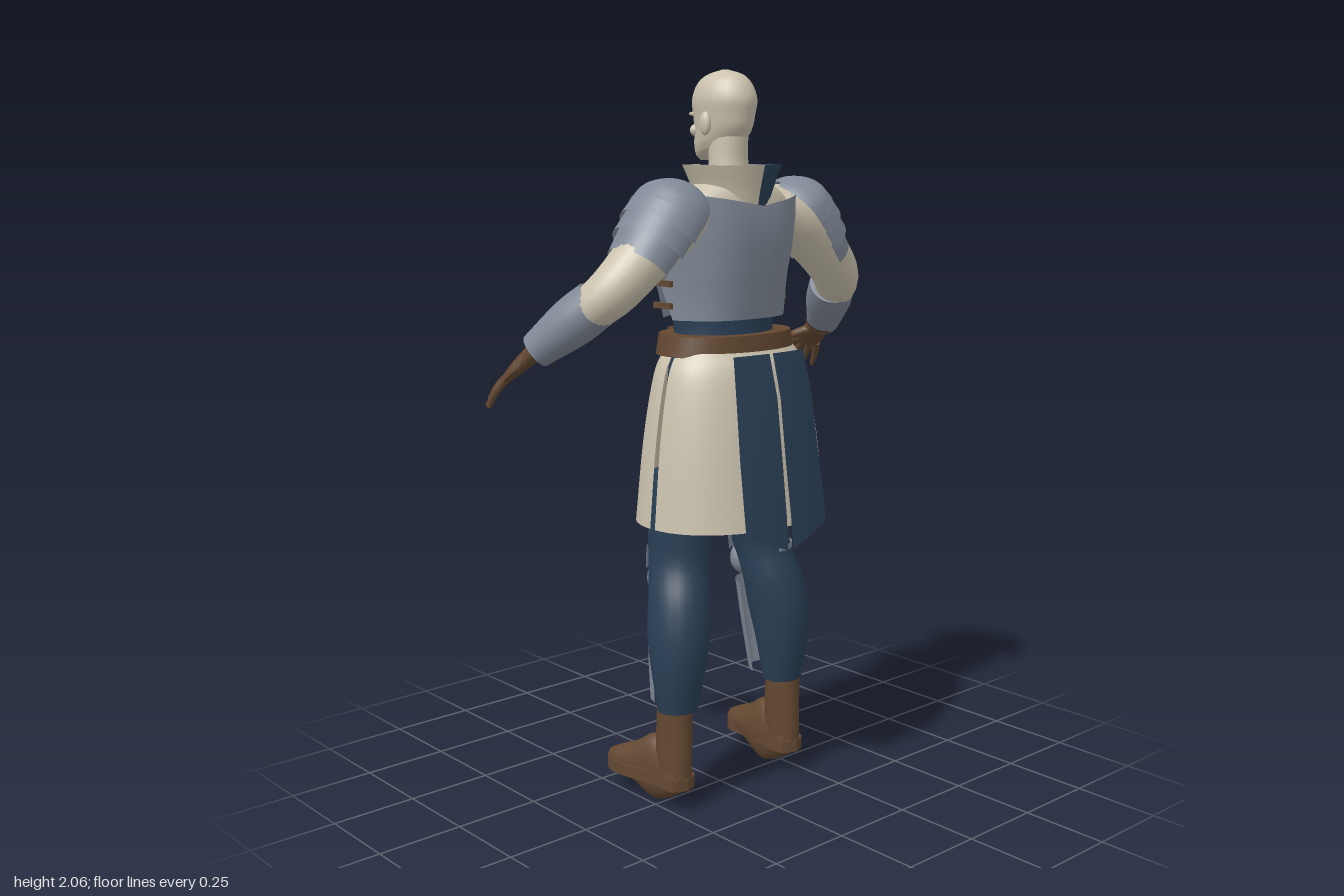
import * as THREE from 'three';
import { toCreasedNormals } from 'three/addons/utils/BufferGeometryUtils.js';

const V = (x, y, z) => new THREE.Vector3(x, y, z);
const UP = V(0, 1, 0), FWD = V(0, 0, 1);
const mat = (name, color, side = THREE.FrontSide) => {
  const m = new THREE.MeshStandardMaterial({ color, side });
  m.name = name;
  return m;
};

// Grid of points [rows][cols] to a surface; optional wrap and end caps
function surface(rows, wrap, caps, crease = 0.7) {
  const n = rows[0].length, pos = [], idx = [];
  rows.forEach(r => r.forEach(p => pos.push(p.x, p.y, p.z)));
  for (let i = 0; i < rows.length - 1; i++) for (let j = 0; j < (wrap ? n : n - 1); j++) {
    const k = (j + 1) % n, a = i * n + j, b = i * n + k;
    idx.push(a, a + n, b, b, a + n, b + n);
  }
  if (caps) [0, rows.length - 1].forEach((r, end) => {
    const c = rows[r].reduce((s, p) => s.add(p), V(0, 0, 0)).divideScalar(n);
    const ci = pos.length / 3;
    pos.push(c.x, c.y, c.z);
    for (let j = 0; j < n; j++) {
      const a = r * n + j, b = r * n + (j + 1) % n;
      end ? idx.push(ci, b, a) : idx.push(ci, a, b);
    }
  });
  const g = new THREE.BufferGeometry();
  g.setAttribute('position', new THREE.Float32BufferAttribute(pos, 3));
  g.setIndex(idx);
  return toCreasedNormals(g, crease);
}

// Elliptical cross-sections [x, y, z, ru, rv] joined along a smooth path
function loft(sec, { dir, ref = FWD, start = 0, arc = Math.PI * 2, n = 24, p = 2, steps = 4 } = {}) {
  const wrap = arc > 6.28, cols = wrap ? n : n + 1, m = (sec.length - 1) * steps;
  const path = new THREE.CatmullRomCurve3(sec.map(s => V(s[0], s[1], s[2])), false, 'catmullrom');
  const rad = new THREE.CatmullRomCurve3(sec.map(s => V(s[3], s[4], 0)), false, 'catmullrom');
  const sup = v => Math.sign(v) * Math.abs(v) ** (2 / p);
  const rows = [];
  for (let i = 0; i <= m; i++) {
    const t = i / m, c = path.getPoint(t), r = rad.getPoint(t);
    const y = (dir || path.getTangent(t)).clone().normalize();
    const z = ref.clone().addScaledVector(y, -ref.dot(y)).normalize(), x = y.clone().cross(z);
    rows.push(Array.from({ length: cols }, (_, j) => {
      const a = start + arc * j / n;
      return c.clone().addScaledVector(x, r.x * sup(Math.cos(a))).addScaledVector(z, r.y * sup(Math.sin(a)));
    }));
  }
  return surface(rows, wrap, wrap);
}
// Upright loft from [y, cx, cz, rx, rz]
const column = (sec, o = {}) => loft(sec.map(([y, x, z, a, b]) => [x, y, z, a, b]), { dir: UP, ...o });

// Curved sheet from rows [y, x0, x1, zMid, zEdge, edgeLift]; half is the width where z reaches zEdge
function sheet(rows, half, p, cols = 16) {
  return surface(rows.map(([y, x0, x1, zm, ze, lift]) => Array.from({ length: cols + 1 }, (_, j) => {
    const x = x0 + (x1 - x0) * j / cols, u = Math.min(1, Math.abs(x) / half);
    return V(x, y + lift * u, zm + (ze - zm) * u ** p);
  })), false, false, 0.35);
}

function mirrored(g) {
  const m = g.clone().scale(-1, 1, 1), count = m.attributes.position.count;
  const src = m.index ? Array.from(m.index.array) : Array.from({ length: count }, (_, i) => i);
  for (let i = 0; i < src.length; i += 3) [src[i], src[i + 1]] = [src[i + 1], src[i]];
  m.setIndex(src);
  return m;
}
const blob = (x, y, z, a, b, c) => new THREE.SphereGeometry(1, 16, 12).scale(a, b, c).translate(x, y, z);
const block = (x, y, z, a, b, c) => new THREE.BoxGeometry(a, b, c).translate(x, y, z);

export function createModel() {
  const root = new THREE.Group();
  root.name = 'armouredFigure';
  const D = THREE.DoubleSide;
  const cream = mat('cream', 0xcbc2ae, D), navy = mat('navy', 0x2a3f56, D);
  const steel = mat('steel', 0x808996, D), brown = mat('brown leather', 0x634831);
  const add = (name, g, m) => {
    const mesh = new THREE.Mesh(g, m);
    mesh.name = name;
    root.add(mesh);
  };
  const pair = (name, g, m) => {
    add(name + 'Left', g, m);
    add(name + 'Right', mirrored(g), m);
  };

  // Head and neck, facing -z
  add('head', column([[1.757, 0, -0.045, 0.022, 0.028], [1.772, 0, -0.035, 0.042, 0.046], [1.8, 0, -0.008, 0.058, 0.076],
    [1.84, 0, 0.012, 0.067, 0.092], [1.88, 0, 0.016, 0.073, 0.099], [1.92, 0, 0.018, 0.077, 0.103],
    [1.96, 0, 0.018, 0.066, 0.087], [1.985, 0, 0.02, 0.043, 0.058], [1.999, 0, 0.02, 0.008, 0.01]]), cream);
  add('neck', column([[1.66, 0, 0.045, 0.07, 0.07], [1.74, 0, 0.035, 0.056, 0.054], [1.83, 0, 0.03, 0.054, 0.06]]), cream);
  add('nose', loft([[0, 1.875, -0.077, 0.007, 0.006], [0, 1.85, -0.085, 0.008, 0.01], [0, 1.832, -0.088, 0.013, 0.014],
    [0, 1.825, -0.083, 0.009, 0.007]], { dir: UP, n: 12 }), cream);
  add('lips', blob(0, 1.803, -0.079, 0.022, 0.008, 0.01), cream);
  add('chin', blob(0, 1.776, -0.07, 0.022, 0.017, 0.017), cream);
  pair('ear', blob(0.077, 1.855, 0.025, 0.013, 0.032, 0.019), cream);
  pair('brow', blob(0.03, 1.882, -0.066, 0.024, 0.007, 0.013), cream);
  pair('cheek', blob(0.038, 1.838, -0.053, 0.022, 0.018, 0.018), cream);

  // Flared collar, one half per colour
  const collar = start => column([[1.62, 0, 0.05, 0.1, 0.1], [1.68, 0, 0.05, 0.112, 0.112], [1.745, 0, 0.048, 0.14, 0.132]],
    { start, arc: Math.PI, n: 16 });
  add('collarLeft', collar(-Math.PI / 2), navy);
  add('collarRight', collar(Math.PI / 2), cream);

  // Shirt, waist and hips
  add('shirt', column([[1.34, 0, 0.015, 0.165, 0.1], [1.45, 0, 0.02, 0.178, 0.105], [1.6, 0, 0.045, 0.195, 0.105],
    [1.66, 0, 0.05, 0.175, 0.095], [1.71, 0, 0.05, 0.09, 0.08]]), cream);
  add('waist', column([[1.18, 0, 0.02, 0.18, 0.12], [1.28, 0, 0.015, 0.156, 0.115], [1.37, 0, 0.015, 0.165, 0.115]]), navy);
  add('hips', column([[0.78, 0, 0.01, 0.2, 0.1], [0.95, 0, 0.03, 0.22, 0.12], [1.2, 0, 0.02, 0.18, 0.12]]), navy);

  // Cuirass: rounded back plate and faceted breastplate
  add('backPlate', sheet([[1.33, -0.198, 0.198, 0.146, 0.0, 0], [1.42, -0.215, 0.215, 0.16, 0.0, 0],
    [1.52, -0.2, 0.2, 0.175, 0.04, 0], [1.59, -0.208, 0.208, 0.182, 0.06, 0.02], [1.637, -0.195, 0.195, 0.176, 0.075, 0.035]],
    0.21, 3.5), steel);
  add('breastPlate', sheet([[1.325, -0.198, 0.198, -0.14, 0.0, 0.01], [1.4, -0.214, 0.214, -0.16, -0.015, 0.01],
    [1.46, -0.214, 0.214, -0.178, -0.09, 0.08], [1.62, -0.17, 0.17, -0.095, -0.07, 0.02]].reverse(), 0.21, 1.5, 4), steel);
  for (const y of [1.37, 1.43]) pair('sideStrap', block(0.213, y, 0.005, 0.012, 0.016, 0.07), brown);

  // Belt with buckle and loops
  add('belt', column([[1.232, 0, 0.022, 0.216, 0.148], [1.288, 0, 0.022, 0.206, 0.142]], { n: 40, steps: 1, p: 2.2 }), brown);
  add('buckle', block(0, 1.26, -0.128, 0.06, 0.06, 0.016), brown);
  pair('beltLoop', block(0.075, 1.26, -0.12, 0.018, 0.062, 0.02), brown);

  // Skirt in front and back halves, slit at the hips
  const skirt = start => column([[1.245, 0, 0.04, 0.2, 0.14], [1.18, 0, 0.045, 0.236, 0.168], [1.0, 0, 0.046, 0.268, 0.197],
    [0.765, 0, 0.047, 0.291, 0.222]], { dir: UP.clone(), start: start + 0.035, arc: Math.PI - 0.07, n: 30, p: 2.15 });
  add('skirtBack', skirt(0), cream);
  add('skirtFront', skirt(Math.PI), cream);

  // Tabard: one pointed front panel, two back panels
  add('tabardFront', sheet([[1.24, -0.105, 0.105, -0.128, -0.115, 0], [1.12, -0.118, 0.118, -0.158, -0.142, 0],
    [0.95, -0.125, 0.125, -0.182, -0.168, 0.01], [0.8, -0.13, 0.13, -0.2, -0.185, 0.04], [0.7, -0.13, 0.13, -0.205, -0.19, 0.065]].reverse(),
    0.13, 2), navy);
  pair('tabardBack', sheet([[1.24, 0.006, 0.13, 0.208, 0.195, 0], [1.12, 0.006, 0.142, 0.24, 0.222, 0],
    [0.95, 0.006, 0.148, 0.262, 0.245, 0.01], [0.8, 0.008, 0.152, 0.282, 0.265, 0.04], [0.7, 0.01, 0.152, 0.292, 0.275, 0.06]],
    0.15, 2, 8), navy);

  // Legs
  pair('leg', column([[0.9, 0.115, 0.01, 0.11, 0.11], [0.76, 0.143, 0.002, 0.097, 0.1], [0.65, 0.16, 0.002, 0.079, 0.093],
    [0.55, 0.18, 0.03, 0.086, 0.092], [0.45, 0.195, 0.042, 0.086, 0.093], [0.35, 0.203, 0.05, 0.078, 0.078],
    [0.228, 0.205, 0.05, 0.06, 0.054]].reverse()), navy);
  pair('shinGuard', column([[0.25, 0.192, 0.035, 0.07, 0.09], [0.4, 0.18, 0.03, 0.083, 0.1], [0.53, 0.165, 0.02, 0.083, 0.1]],
    { start: Math.PI + 0.3, arc: Math.PI - 0.55 }), steel);
  pair('kneeCap', blob(0.16, 0.59, -0.052, 0.062, 0.056, 0.045), steel);
  pair('thighGuard', column([[0.615, 0.16, 0, 0.084, 0.1], [0.68, 0.155, 0, 0.086, 0.103]],
    { start: Math.PI + 0.7, arc: Math.PI - 1.4, steps: 1 }), steel);
  add('kneeStrapLeft', column([[0.634, 0.162, 0.002, 0.084, 0.098], [0.652, 0.162, 0.002, 0.084, 0.098]],
    { start: -1, arc: 2.8, steps: 1 }), steel);

  // Boots
  const sole = new THREE.Shape();
  sole.moveTo(0.215, -0.105);
  sole.splineThru([[0.26, -0.08], [0.262, 0], [0.287, 0.11], [0.28, 0.18], [0.238, 0.212], [0.187, 0.17], [0.182, 0.1],
    [0.172, 0], [0.172, -0.08], [0.215, -0.105]].map(([x, y]) => new THREE.Vector2(x, y)));
  pair('bootSole', new THREE.ExtrudeGeometry(sole, { depth: 0.035, bevelEnabled: false, curveSegments: 3 })
    .rotateX(-Math.PI / 2), brown);
  pair('bootShaft', column([[0.03, 0.215, 0.045, 0.043, 0.056], [0.12, 0.214, 0.042, 0.045, 0.06], [0.24, 0.213, 0.045, 0.047, 0.055]]), brown);
  pair('bootFoot', loft([[0.215, 0.035, 0.095, 0.022, 0.03], [0.215, 0.035, 0.06, 0.043, 0.06], [0.217, 0.035, -0.03, 0.044, 0.1],
    [0.226, 0.035, -0.1, 0.05, 0.062], [0.234, 0.035, -0.165, 0.047, 0.033], [0.238, 0.035, -0.203, 0.022, 0.014]],
    { dir: V(0, 0, -1), ref: UP }), brown);

  // Sleeves, bracers and bracer straps
  pair('sleeve', loft([[0.15, 1.625, 0.05, 0.07, 0.08], [0.24, 1.59, 0.057, 0.088, 0.095], [0.34, 1.5, 0.062, 0.074, 0.08],
    [0.425, 1.415, 0.04, 0.066, 0.068], [0.49, 1.335, -0.05, 0.052, 0.052]]), cream);
  const at = t => [0.443 + 0.1 * t, 1.39 - 0.128 * t, 0.008 - 0.135 * t];
  pair('bracer', loft([[...at(0), 0.066, 0.068], [...at(0.4), 0.066, 0.068], [...at(1), 0.048, 0.05]],
    { dir: V(0.1, -0.128, -0.135) }), steel);
  for (const t of [0.3, 0.62, 0.9]) pair('bracerStrap', loft([[...at(t - 0.035), 0.067, 0.067], [...at(t + 0.035), 0.066, 0.066]]
    .map(s => [s[0], s[1], s[2], s[3] - 0.012 * t, s[4] - 0.012 * t]),
    { dir: V(0.1, -0.128, -0.135), start: -0.9, arc: 1.8, steps: 1 }), brown);

  // Gloves: palm, four fingers and thumb
  const wide = V(0.85, -0.3, 0.42).normalize();
  pair('palm', loft([[0.535, 1.272, -0.118, 0.03, 0.034], [0.547, 1.245, -0.15, 0.024, 0.032], [0.558, 1.215, -0.187, 0.02, 0.042],
    [0.566, 1.185, -0.222, 0.014, 0.04]], { ref: wide, n: 16 }), brown);
  [[0.55, 1.14, -0.297], [0.577, 1.118, -0.3], [0.6, 1.103, -0.278], [0.616, 1.104, -0.245]].forEach(([x, y, z], i) => {
    const b = V(0.566, 1.19, -0.217).addScaledVector(wide, (i - 1.5) * 0.022);
    pair('finger' + (i + 1), loft([[b.x, b.y, b.z, 0.012, 0.012], [(b.x + x) / 2 + 0.004, (b.y + y) / 2 + 0.004, (b.z + z) / 2, 0.011, 0.011],
      [x, y, z, 0.006, 0.006]], { ref: wide, n: 10 }), brown);
  });
  pair('thumb', loft([[0.545, 1.24, -0.16, 0.014, 0.016], [0.515, 1.218, -0.21, 0.013, 0.014], [0.493, 1.195, -0.262, 0.007, 0.007]],
    { n: 10 }), brown);

  // Pauldrons: a dome and overlapping lames along the upper arm
  const d = V(0.65, -0.76, 0);
  const lames = [[[-0.085, 0.015], [-0.065, 0.062], [-0.02, 0.104], [0.035, 0.115]], [[0.02, 0.112], [0.082, 0.115]],
    [[0.072, 0.107], [0.135, 0.107]], [[0.122, 0.098], [0.19, 0.09]]];
  lames.forEach((l, i) => pair('pauldronLame' + (i + 1),
    loft(l.map(([t, r]) => [0.213 + d.x * t, 1.622 + d.y * t, 0.055, r, r * 1.1]),
      { dir: d, start: Math.PI - 1.75, arc: 3.5 }), steel));

  return root;
}
